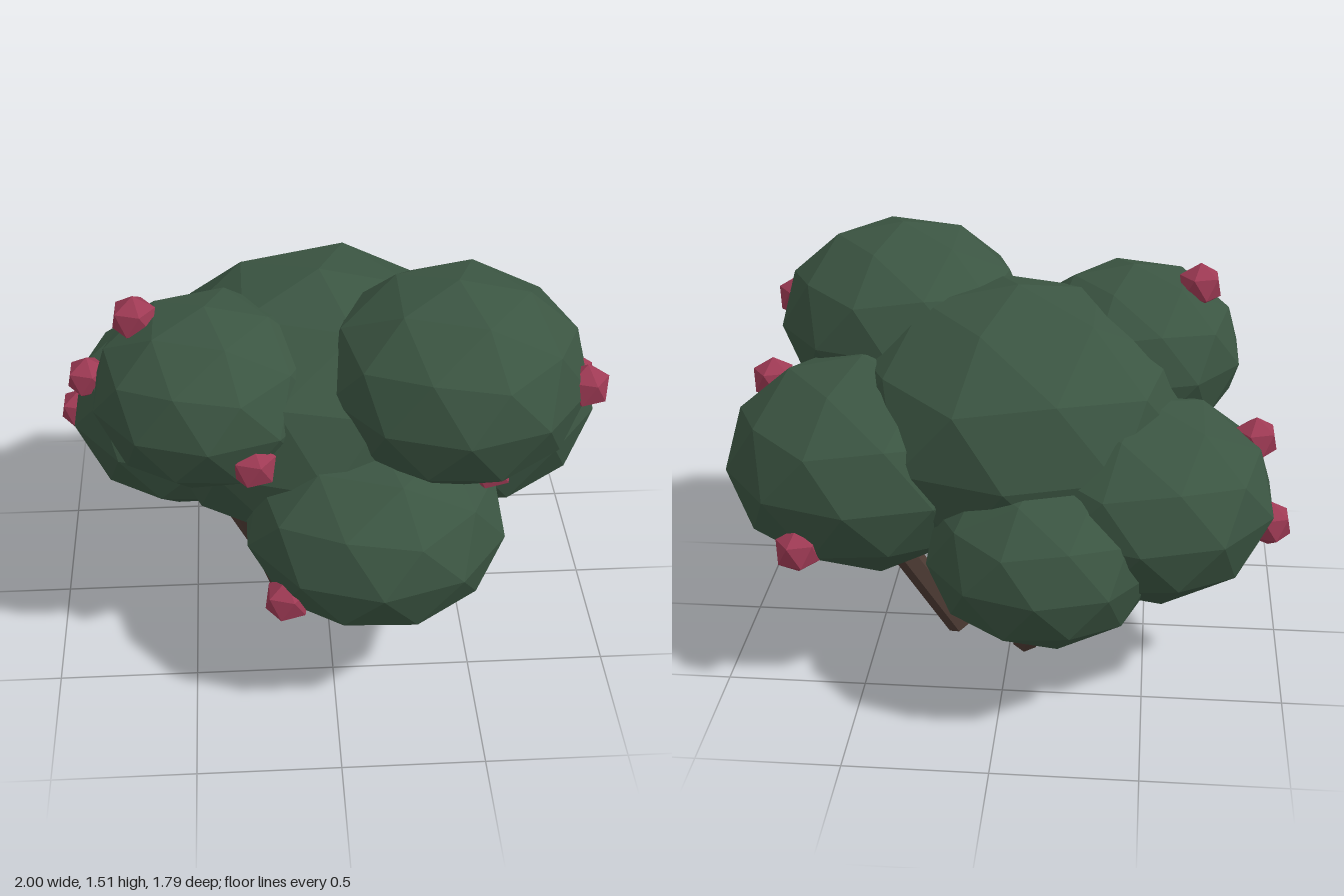
import * as THREE from 'three';

const material = (name, color) => {
  const m = new THREE.MeshStandardMaterial({ color, flatShading: true });
  m.name = name;
  return m;
};

// Icosphere turned so that a five-sided corner points straight up and the upper ring starts at +x
const icosphere = (radius, detail) =>
  new THREE.IcosahedronGeometry(radius, detail)
    .rotateX(-Math.atan((1 + Math.sqrt(5)) / 2))
    .rotateY(Math.PI / 2);

export function createModel() {
  const bush = new THREE.Group();
  bush.name = 'berryBush';
  const leafGreen = material('leafGreen', 0x3b5542);
  const berryRed = material('berryRed', 0x9e3a54);
  const barkBrown = material('barkBrown', 0x4d3b34);

  const add = (geometry, mat, name) => {
    const mesh = new THREE.Mesh(geometry, mat);
    mesh.name = name;
    bush.add(mesh);
    return mesh;
  };

  // Foliage clumps: name, centre, horizontal radius, vertical radius
  const clumpGeometry = icosphere(1, 1);
  [
    ['centreFoliage', [-0.02, 0.875, -0.04], 0.64, 0.51],
    ['upperLeftFoliage', [0.43, 1.138, 0.27], 0.462, 0.367],
    ['upperRightFoliage', [-0.42, 1.062, 0.2], 0.41, 0.328],
    ['lowerRightFoliage', [-0.48, 0.695, -0.267], 0.475, 0.36],
    ['lowerLeftFoliage', [0.52, 0.763, -0.177], 0.504, 0.392],
    ['lowerFrontFoliage', [0.145, 0.65, 0.425], 0.468, 0.345],
    ['lowerBackFoliage', [-0.14, 0.572, -0.487], 0.41, 0.315],
  ].forEach(([name, centre, radius, height]) => {
    const clump = add(clumpGeometry, leafGreen, name);
    clump.position.set(...centre);
    clump.scale.set(radius, height, radius);
  });

  // Berries sitting on the foliage surface
  const berryGeometry = icosphere(0.084, 0);
  [
    [-0.66, 1.33, 0.16], [-0.27, 0.957, 0.525], [-0.17, 0.503, 0.685],
    [-0.87, 0.88, -0.17], [-0.925, 0.633, -0.33], [0.86, 1.155, 0.4],
    [0.89, 0.966, 0.03], [0.7, 0.587, -0.58], [0.54, 0.87, 0.46],
    [0.5, 0.595, 0.25],
  ].forEach((p) => add(berryGeometry, berryRed, 'berry').position.set(...p));

  // Stems fanning outward from the ground: foot, top
  const up = new THREE.Vector3(0, 1, 0);
  [
    [[-0.03, 0.02, 0], [-0.02, 0.5, 0]],
    [[-0.19, 0.03, -0.1], [-0.43, 0.46, -0.15]],
    [[-0.15, 0.025, 0.09], [-0.31, 0.54, 0.16]],
    [[0.04, 0.03, 0.17], [0.08, 0.45, 0.41]],
    [[0.15, 0.025, 0.09], [0.27, 0.46, 0.16]],
    [[0.2, 0.025, -0.09], [0.43, 0.45, -0.2]],
    [[-0.06, 0.03, -0.2], [-0.12, 0.4, -0.48]],
  ].forEach(([foot, top]) => {
    const a = new THREE.Vector3(...foot);
    const axis = new THREE.Vector3(...top).sub(a);
    const stem = add(new THREE.CylinderGeometry(0.05, 0.05, axis.length(), 6), barkBrown, 'stem');
    stem.position.copy(a).addScaledVector(axis, 0.5);
    stem.quaternion.setFromUnitVectors(up, axis.normalize());
  });

  return bush;
}
